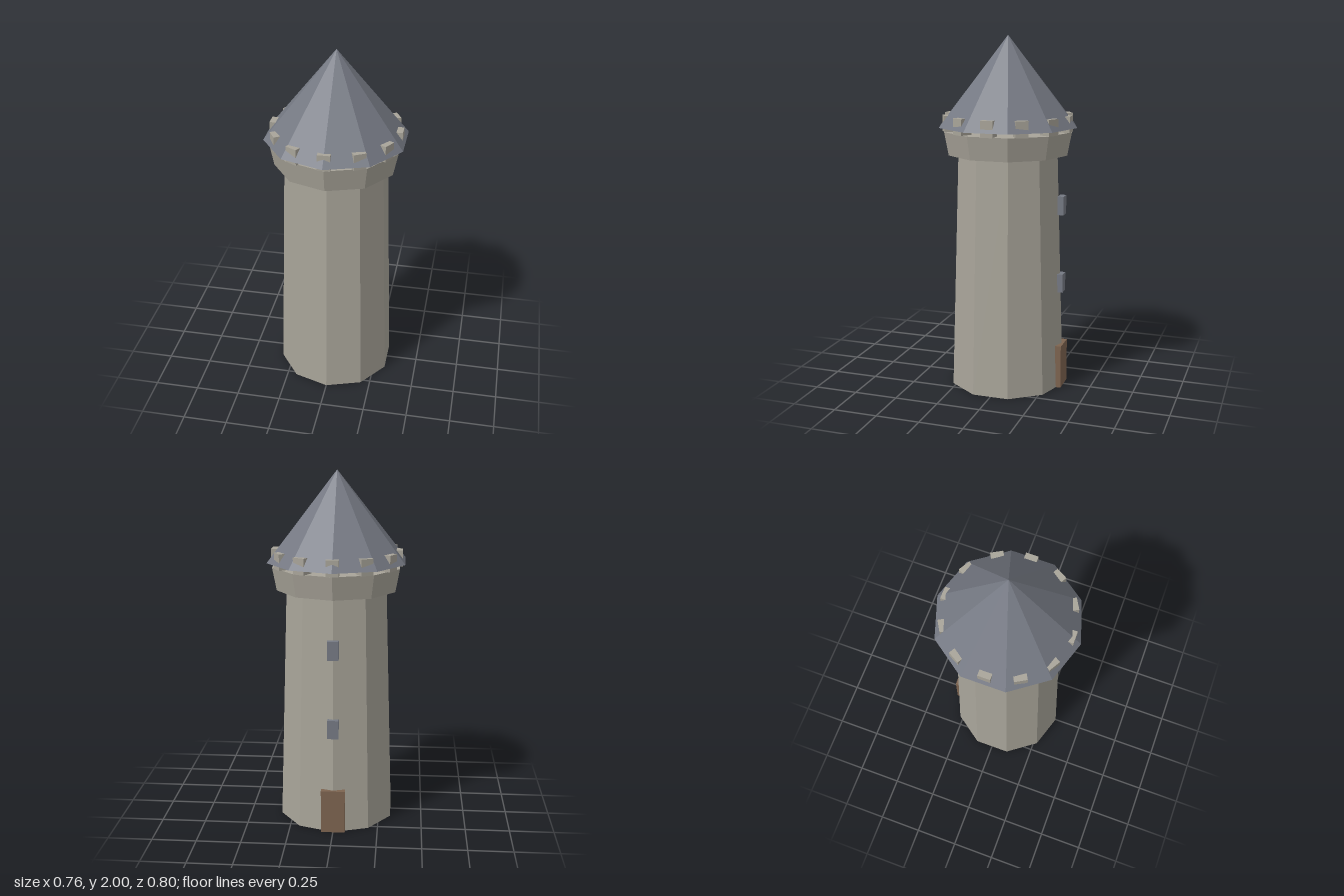
import * as THREE from 'three';

export function createModel() {
  const tower = new THREE.Group();
  tower.name = 'tower';

  const material = (name, color) => {
    const m = new THREE.MeshStandardMaterial({ color, flatShading: true });
    m.name = name;
    return m;
  };
  const stone = material('stone', 0xa8a499);
  const slate = material('slate', 0x757983);
  const wood = material('wood', 0x7d6450);

  const SIDES = 10;
  const MERLONS = 12;

  // Ten-sided solid between two heights
  const drum = (name, mat, rTop, rBottom, y0, y1) => {
    const mesh = new THREE.Mesh(new THREE.CylinderGeometry(rTop, rBottom, y1 - y0, SIDES), mat);
    mesh.name = name;
    mesh.position.y = (y0 + y1) / 2;
    tower.add(mesh);
  };

  const box = (name, mat, w, h, d, x, y, z) => {
    const mesh = new THREE.Mesh(new THREE.BoxGeometry(w, h, d), mat);
    mesh.name = name;
    mesh.position.set(x, y, z);
    tower.add(mesh);
    return mesh;
  };

  // Tapered shaft and flared parapet
  drum('shaft', stone, 0.29, 0.335, 0, 1.345);
  drum('parapet', stone, 0.37, 0.345, 1.345, 1.476);

  // Pointed roof, held just clear of the parapet by the merlons
  const roof = new THREE.Mesh(new THREE.ConeGeometry(0.4, 0.5, SIDES), slate);
  roof.name = 'roof';
  roof.position.y = 1.75;
  tower.add(roof);

  // Ring of merlons poking through the roof's edge
  for (let i = 0; i < MERLONS; i++) {
    const a = (i / MERLONS) * Math.PI * 2;
    const merlon = box('merlon', stone, 0.07, 0.09, 0.07, Math.sin(a) * 0.331, 1.52, Math.cos(a) * 0.331);
    merlon.rotation.y = a;
  }

  // Door and windows on the back
  box('door', wood, 0.135, 0.25, 0.04, 0, 0.125, -0.32);
  for (const y of [0.614, 1.064]) box('window', slate, 0.062, 0.106, 0.034, 0, y, -0.318);

  return tower;
}
